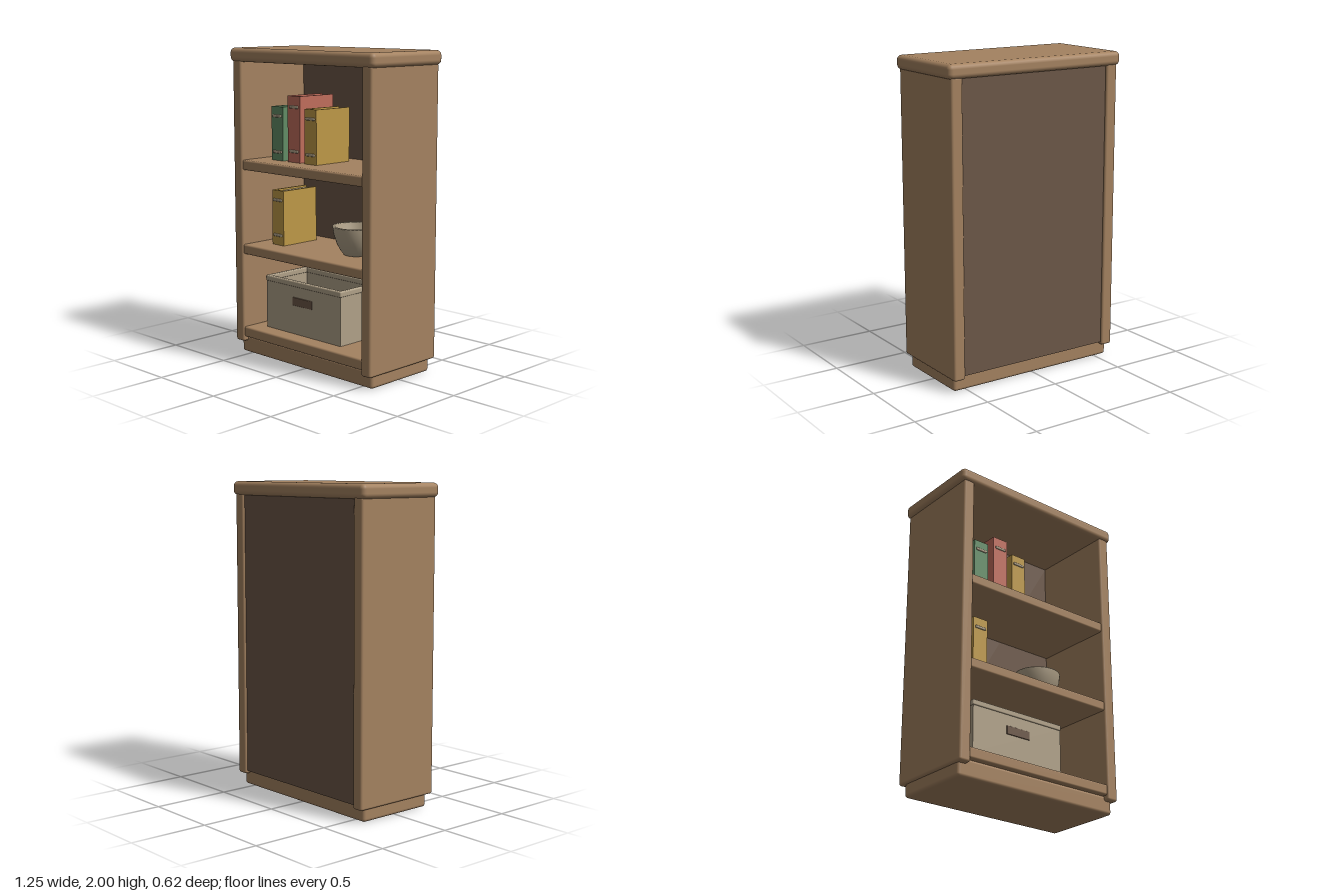
import * as THREE from 'three';
import { RoundedBoxGeometry } from 'three/addons/geometries/RoundedBoxGeometry.js';

const material = (name, color) => {
  const m = new THREE.MeshStandardMaterial({ color });
  m.name = name;
  return m;
};

export function createModel() {
  const wood = material('warm wood', 0xa48260);
  const darkWood = material('dark wood', 0x6c5747);
  const cream = material('cream', 0xb0a188);
  const green = material('green cover', 0x628c65);
  const red = material('red cover', 0xc06d5c);
  const yellow = material('yellow cover', 0xbd9847);

  const model = new THREE.Group();
  model.name = 'bookcase';

  // Box from its extents; a radius rounds the edges
  const box = (parent, name, mat, [x0, x1], [y0, y1], [z0, z1], radius = 0) => {
    const size = [x1 - x0, y1 - y0, z1 - z0];
    const geometry = radius
      ? new RoundedBoxGeometry(...size, 3, radius)
      : new THREE.BoxGeometry(...size);
    const mesh = new THREE.Mesh(geometry, mat);
    mesh.position.set((x0 + x1) / 2, (y0 + y1) / 2, (z0 + z1) / 2);
    mesh.name = name;
    parent.add(mesh);
    return mesh;
  };

  // Carcass
  box(model, 'base', wood, [-0.587, 0.587], [0, 0.115], [-0.262, 0.262], 0.02);
  box(model, 'top', wood, [-0.625, 0.625], [1.912, 2], [-0.312, 0.312], 0.03);
  box(model, 'leftSide', wood, [0.527, 0.605], [0.08, 1.925], [-0.3, 0.3], 0.015);
  box(model, 'rightSide', wood, [-0.605, -0.527], [0.08, 1.925], [-0.3, 0.3], 0.015);
  box(model, 'backPanel', darkWood, [-0.535, 0.535], [0.1, 1.925], [-0.285, -0.256]);
  for (const [y0, y1] of [[0.112, 0.18], [0.668, 0.732], [1.22, 1.285]]) {
    box(model, 'shelf', wood, [-0.535, 0.535], [y0, y1], [-0.26, 0.29], 0.012);
  }

  // Books: two covers, spine, recessed pages and two raised spine bands
  const addBook = (cover, x, y, width, height, bands) => {
    const book = new THREE.Group();
    book.name = 'book';
    book.position.set(x, y, 0);
    const w = width / 2, t = 0.014, d = 0.147;
    for (const s of [-1, 1]) {
      const xs = s < 0 ? [-w, -w + t] : [w - t, w];
      box(book, 'cover', cover, xs, [0, height], [-d, d]);
    }
    box(book, 'spine', cover, [-w + t, w - t], [0, height], [d - 0.022, d]);
    box(book, 'pages', cream, [-w + t, w - t], [0.01, height - 0.012], [-d + 0.012, d - 0.022]);
    for (const b of bands) {
      box(book, 'spineBand', cream, [-0.04, 0.04], [b - 0.009, b + 0.009], [d - 0.006, d + 0.008], 0.006);
    }
    model.add(book);
  };
  addBook(green, -0.353, 1.285, 0.106, 0.345, [0.055, 0.285]);
  addBook(red, -0.2, 1.285, 0.112, 0.42, [0.07, 0.35]);
  addBook(yellow, -0.052, 1.285, 0.106, 0.345, [0.06, 0.285]);
  addBook(yellow, -0.353, 0.732, 0.106, 0.358, [0.065, 0.295]);

  // Bowl: outer wall up, over the rim and down the inside
  const profile = [
    [0, 0], [0.07, 0], [0.078, 0.004], [0.098, 0.03], [0.122, 0.075], [0.14, 0.13], [0.147, 0.178],
    [0.146, 0.183], [0.132, 0.183], [0.13, 0.178], [0.12, 0.13], [0.102, 0.075], [0.075, 0.035], [0, 0.022],
  ].map(([r, y]) => new THREE.Vector2(r, y));
  const bowl = new THREE.Mesh(new THREE.LatheGeometry(profile, 36), cream);
  bowl.name = 'bowl';
  bowl.position.set(0.213, 0.732, 0.01);
  model.add(bowl);

  // Open storage box with a thicker rim and a dark handle slot on the front
  const crate = new THREE.Group();
  crate.name = 'storageBox';
  crate.position.set(-0.09, 0.18, 0);
  model.add(crate);
  const W = 0.337, D = 0.183, T = 0.02, H = 0.32;
  box(crate, 'boxFloor', cream, [-W, W], [0, 0.02], [-D, D]);
  for (const s of [-1, 1]) {
    const span = (outer, t) => (s < 0 ? [-outer, -outer + t] : [outer - t, outer]);
    box(crate, 'boxLongWall', cream, [-W, W], [0.02, H], span(D, T));
    box(crate, 'boxEndWall', cream, span(W, T), [0.02, H], [-D + T, D - T]);
    box(crate, 'boxLongRim', cream, [-W - 0.005, W + 0.005], [0.312, 0.348], span(D + 0.005, 0.03), 0.008);
    box(crate, 'boxEndRim', cream, span(W + 0.005, 0.03), [0.312, 0.348], [-D - 0.005, D + 0.005], 0.008);
  }
  box(crate, 'handleSlot', darkWood, [-0.087, 0.087], [0.189, 0.243], [D - 0.002, D + 0.006], 0.003);

  return model;
}
